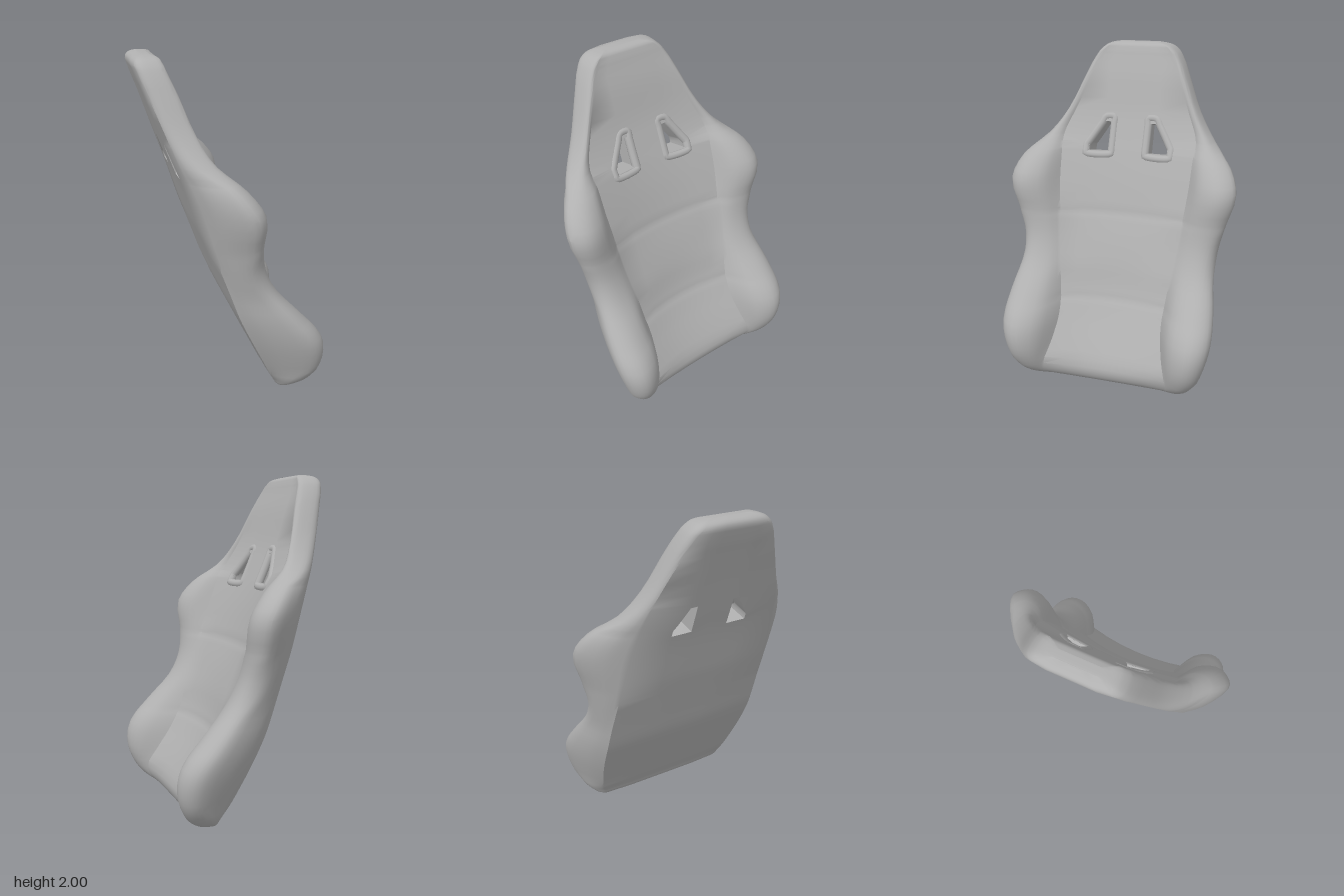
import * as THREE from 'three';
import { toCreasedNormals } from 'three/addons/utils/BufferGeometryUtils.js';

const { lerp, clamp } = THREE.MathUtils;

// Horizontal sections: y, back x, panel x, bolster front x, flat back half width, outer half width, panel half width
const SECTIONS = [
  [0.00, 0.285, 0.31, 0.32, 0.36, 0.39, 0.30],
  [0.02, 0.255, 0.35, 0.36, 0.42, 0.46, 0.35],
  [0.06, 0.235, 0.38, 0.42, 0.455, 0.52, 0.38],
  [0.12, 0.20, 0.385, 0.47, 0.48, 0.565, 0.385],
  [0.25, 0.135, 0.32, 0.515, 0.51, 0.615, 0.35],
  [0.40, 0.06, 0.23, 0.49, 0.53, 0.645, 0.325],
  [0.55, -0.01, 0.155, 0.36, 0.535, 0.635, 0.335],
  [0.70, -0.065, 0.11, 0.22, 0.53, 0.608, 0.355],
  [0.85, -0.12, 0.055, 0.145, 0.52, 0.615, 0.375],
  [1.00, -0.175, -0.01, 0.12, 0.51, 0.65, 0.39],
  [1.20, -0.24, -0.08, 0.115, 0.49, 0.70, 0.41],
  [1.33, -0.285, -0.13, 0.02, 0.47, 0.65, 0.415],
  [1.45, -0.33, -0.18, -0.125, 0.445, 0.525, 0.42],
  [1.60, -0.385, -0.24, -0.215, 0.39, 0.418, 0.36],
  [1.80, -0.46, -0.30, -0.29, 0.30, 0.328, 0.27],
  [1.92, -0.505, -0.345, -0.34, 0.235, 0.27, 0.21],
  [1.965, -0.515, -0.362, -0.358, 0.19, 0.232, 0.175],
  [1.99, -0.495, -0.38, -0.378, 0.145, 0.185, 0.135],
  [2.00, -0.465, -0.41, -0.41, 0.10, 0.13, 0.09],
];
const SLOT_ROWS = [1.36, 1.40, 1.44, 1.485, 1.53];
const SEAMS = [0.5, 1.0];
const S = 18;        // steps around a bolster
const H = S + 6;     // index of the panel centre in a half section

// All row heights, including the slot and seam rows
function rowHeights() {
  const ys = [...SLOT_ROWS];
  for (const s of SEAMS) ys.push(s - 0.02, s, s + 0.02);
  SECTIONS.forEach(([y], i) => {
    ys.push(y);
    if (i < SECTIONS.length - 1) {
      for (const t of [1 / 3, 2 / 3]) ys.push(lerp(y, SECTIONS[i + 1][0], t));
    }
  });
  ys.sort((a, b) => a - b);
  return ys.filter((y, i) => i === 0 || y - ys[i - 1] > 1e-4);
}

// One closed section, from the back centre round the +z side and back
function sectionAt(y, values) {
  let [xb, xf, xt, zb, zo, zc] = values;
  for (const s of SEAMS) xf -= 0.006 * Math.exp(-(((y - s) / 0.015) ** 2));
  const w = clamp((xt - xf) / 0.12, 0, 1);
  const xo = lerp(xb, xt, 0.32 + 0.4 * w);
  const zt = lerp(zc, zo, 0.6);
  const dish = 0.045 * w;
  const xc = xf + dish;
  const bolster = new THREE.SplineCurve([
    [xb + 0.01, zb],
    [lerp(xb, xo, 0.4), lerp(zb, zo, 0.57)],
    [xo, zo],
    [lerp(xo, xt, 0.75), lerp(zo, zt, 0.3)],
    [xt, zt],
    [lerp(xc, xt, 0.7), lerp(zc, zo, 0.25)],
    [xc, zc],
  ].map(([x, z]) => new THREE.Vector2(x, z))).getPoints(S).map((p) => [p.x, p.y]);

  // Columns that follow the slot edges
  const zi = Math.min(0.12, 0.35 * zc);
  const ze = Math.min(lerp(0.25, 0.165, clamp((y - 1.4) / 0.13, 0, 1)), 0.7 * zc);
  const front = (z) => [xf + dish * (z / zc) ** 2, z];
  const half = [[xb, 0], [xb, zi], [xb, ze], ...bolster, front(ze), front(zi), front(0)];
  const loop = half.map(([x, z]) => new THREE.Vector3(x, y, z));
  for (let i = H - 1; i > 0; i--) loop.push(new THREE.Vector3(half[i][0], y, -half[i][1]));

  // Slide the slot columns down the back so the slots run square to the leaning panel
  const drop = 0.045 * Math.exp(-(((y - 1.445) / 0.2) ** 2));
  for (const i of [1, 2, 2 * H - 2, 2 * H - 1]) {
    loop[i].y -= drop;
    loop[i].x += 0.37 * drop;
  }
  return loop;
}

function geometryFrom(points) {
  const geo = new THREE.BufferGeometry().setFromPoints(points);
  return toCreasedNormals(geo, 0.65);
}

export function createModel() {
  const group = new THREE.Group();
  group.name = 'bucketSeat';
  const grey = new THREE.MeshStandardMaterial({ color: 0xb0b0b0, side: THREE.DoubleSide });
  grey.name = 'seatGrey';

  const add = (geo, name) => {
    const mesh = new THREE.Mesh(geo, grey);
    mesh.name = name;
    group.add(mesh);
  };

  const interpolant = new THREE.CubicInterpolant(
    SECTIONS.map((s) => s[0]), SECTIONS.flatMap((s) => s.slice(1)), 6, new Array(6).fill(0));
  const ys = rowHeights();
  const rows = ys.map((y) => sectionAt(y, Array.from(interpolant.evaluate(y))));
  const N = 2 * H;
  const first = ys.findIndex((y) => Math.abs(y - SLOT_ROWS[0]) < 1e-3);
  const last = ys.findIndex((y) => Math.abs(y - SLOT_ROWS[SLOT_ROWS.length - 1]) < 1e-3);
  const quad = (out, a, b, c, d) => out.push(a, b, c, a, c, d);

  // Padded shell with both harness slots left open
  const shell = [];
  const slotColumns = [1, H - 2, H + 1, N - 2];
  for (let r = 0; r < rows.length - 1; r++) {
    const lo = rows[r], hi = rows[r + 1];
    for (let i = 0; i < N; i++) {
      if (r >= first && r < last && slotColumns.includes(i)) continue;
      const j = (i + 1) % N;
      quad(shell, lo[i], lo[j], hi[j], hi[i]);
    }
  }
  // Bottom and top caps
  const bottom = rows[0], top = rows[rows.length - 1];
  for (let i = 0; i < H; i++) {
    const a = (N - i) % N, b = N - i - 1;
    quad(shell, top[i], top[i + 1], top[b], top[a]);
    quad(shell, bottom[a], bottom[b], bottom[i + 1], bottom[i]);
  }
  add(geometryFrom(shell), 'seatShell');

  for (const side of [1, -1]) {
    const label = side > 0 ? 'left' : 'right';
    const at = (r, i) => rows[r][side > 0 ? i : N - i];
    const lining = [];
    const face = (a, b, c, d) => (side > 0 ? quad(lining, a, b, c, d) : quad(lining, d, c, b, a));

    // Walls through the slot
    for (let r = first; r < last; r++) {
      face(at(r, 1), at(r, H - 1), at(r + 1, H - 1), at(r + 1, 1));
      face(at(r, H - 2), at(r, 2), at(r + 1, 2), at(r + 1, H - 2));
    }
    face(at(first, 1), at(first, 2), at(first, H - 2), at(first, H - 1));
    face(at(last, H - 1), at(last, H - 2), at(last, 2), at(last, 1));
    add(geometryFrom(lining), label + 'HarnessSlotLining');

    // Low raised rim around the slot
    const outline = [];
    for (let r = first; r <= last; r++) outline.push(at(r, H - 1).clone());
    for (let r = last; r >= first; r--) outline.push(at(r, H - 2).clone());
    const centre = new THREE.Vector3();
    outline.forEach((p) => centre.addScaledVector(p, 1 / outline.length));
    outline.forEach((p) => {
      p.sub(centre).multiplyScalar(1.26).add(centre);
      p.x -= 0.017;
    });
    const path = new THREE.CatmullRomCurve3(outline, true, 'centripetal');
    add(new THREE.TubeGeometry(path, 48, 0.026, 10, true), label + 'HarnessSlotRim');
  }
  return group;
}
